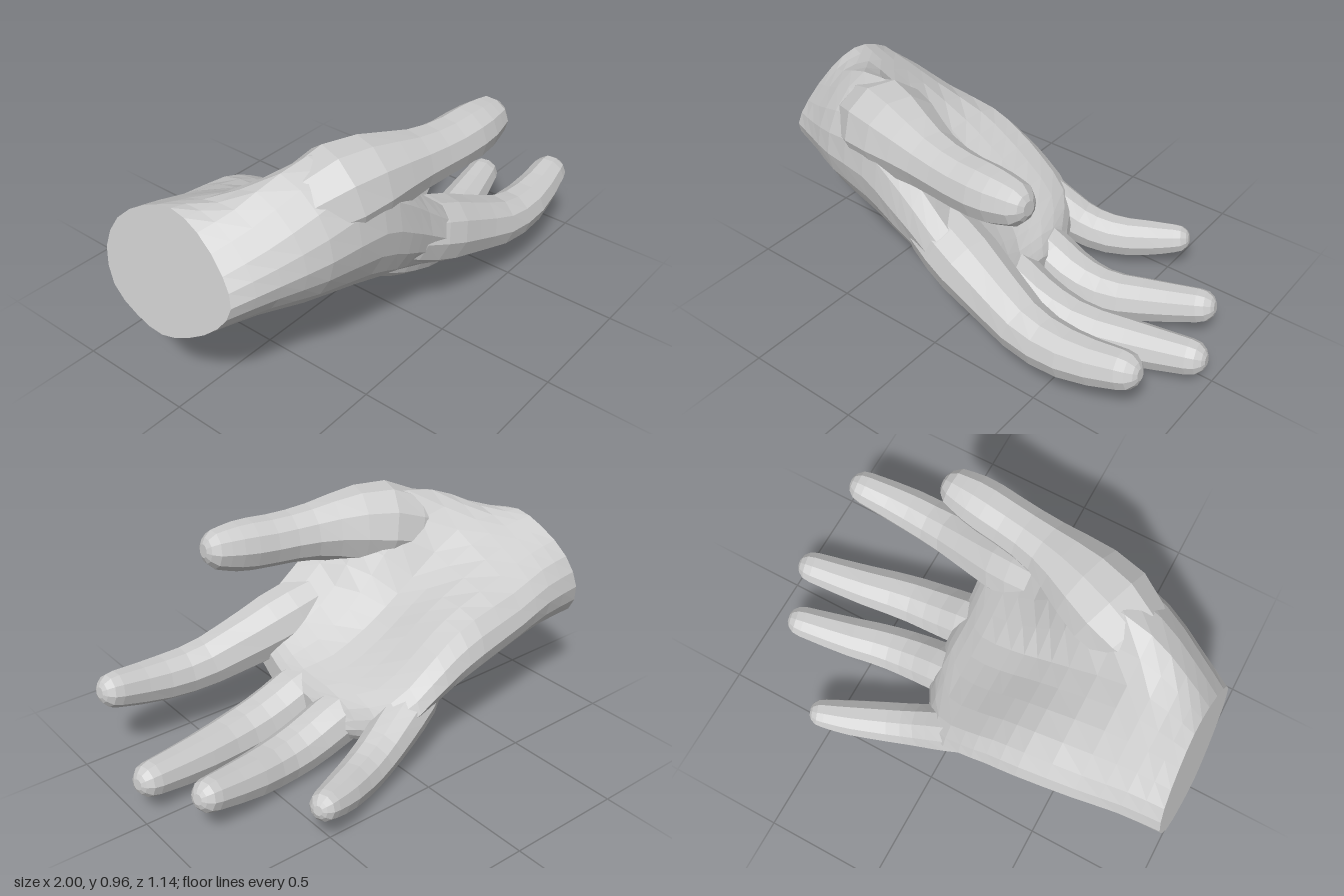
import * as THREE from 'three';

const skin = new THREE.MeshStandardMaterial({ color: 0xcccccc, flatShading: true });

// Skin over a list of rings (counter-clockwise about the direction of travel), capped at both ends
function loft(rings, name) {
  const n = rings[0].length, pos = [];
  const tri = (...ps) => ps.forEach(p => pos.push(p.x, p.y, p.z));
  for (let i = 0; i < rings.length - 1; i++) {
    for (let j = 0; j < n; j++) {
      const k = (j + 1) % n;
      const a = rings[i][j], b = rings[i][k], c = rings[i + 1][k], d = rings[i + 1][j];
      tri(a, b, c);
      tri(a, c, d);
    }
  }
  const centre = r => r.reduce((s, p) => s.add(p), new THREE.Vector3()).divideScalar(n);
  const first = rings[0], last = rings[rings.length - 1];
  const c0 = centre(first), c1 = centre(last);
  for (let j = 0; j < n; j++) {
    const k = (j + 1) % n;
    tri(c0, first[k], first[j]);
    tri(c1, last[j], last[k]);
  }
  const g = new THREE.BufferGeometry();
  g.setAttribute('position', new THREE.Float32BufferAttribute(pos, 3));
  g.computeVertexNormals();
  const mesh = new THREE.Mesh(g, skin);
  mesh.name = name;
  return mesh;
}

// Finger: a tube through [x, y, z, radius] stations, narrow where it is buried, with a rounded tip
function finger(name, stations, sides = 10, steps = 11) {
  const path = new THREE.CatmullRomCurve3(
    stations.map(s => new THREE.Vector3(s[0], s[1], s[2])), false, 'catmullrom');
  const girth = new THREE.CatmullRomCurve3(
    stations.map(s => new THREE.Vector3(s[3], 0, 0)), false, 'catmullrom');
  const rings = [];
  const addRing = (c, t, r) => {
    const side = new THREE.Vector3().crossVectors(t, new THREE.Vector3(0, 1, 0)).normalize();
    const up = new THREE.Vector3().crossVectors(side, t);
    rings.push(Array.from({ length: sides }, (_, j) => {
      const a = (j + 0.5) / sides * Math.PI * 2;
      return c.clone().addScaledVector(up, Math.cos(a) * r).addScaledVector(side, Math.sin(a) * r);
    }));
  };
  for (let i = 0; i <= steps; i++) {
    const u = i / steps;
    addRing(path.getPoint(u), path.getTangent(u), girth.getPoint(u).x);
  }
  const end = path.getPoint(1), dir = path.getTangent(1), r = girth.getPoint(1).x;
  for (const a of [0.5, 0.95, 1.25]) {
    addRing(end.clone().addScaledVector(dir, Math.sin(a) * r), dir, Math.cos(a) * r);
  }
  return loft(rings, name);
}

// Palm cross-sections: x, z range, then palm-side and back-side heights across the hand.
// The raised fourth and fifth heights form the ball of the thumb.
const sections = [
  [-1.00, -0.37, 0.27, [0.69, 0.79, 0.83, 0.79, 0.68], [0.42, 0.35, 0.33, 0.38, 0.48]],
  [-0.78, -0.38, 0.35, [0.67, 0.76, 0.82, 0.84, 0.74], [0.41, 0.34, 0.33, 0.37, 0.49]],
  [-0.60, -0.40, 0.43, [0.62, 0.71, 0.79, 0.92, 0.82], [0.38, 0.30, 0.29, 0.34, 0.48]],
  [-0.36, -0.42, 0.48, [0.58, 0.61, 0.63, 0.93, 0.88], [0.33, 0.25, 0.225, 0.29, 0.45]],
  [-0.22, -0.42, 0.495, [0.52, 0.53, 0.53, 0.76, 0.80], [0.29, 0.21, 0.19, 0.26, 0.40]],
  [-0.10, -0.42, 0.50, [0.44, 0.45, 0.46, 0.59, 0.69], [0.25, 0.17, 0.15, 0.23, 0.36]],
  [0.05, -0.39, 0.51, [0.33, 0.36, 0.38, 0.46, 0.56], [0.17, 0.10, 0.09, 0.19, 0.30]],
  [0.15, -0.23, 0.49, [0.27, 0.31, 0.32, 0.39, 0.47], [0.13, 0.08, 0.07, 0.19, 0.29]],
  [0.20, -0.14, 0.46, [0.20, 0.25, 0.26, 0.32, 0.40], [0.15, 0.12, 0.11, 0.21, 0.31]],
];

function palm() {
  const fractions = [0.08, 0.29, 0.5, 0.71, 0.92];
  const rings = sections.map(([x, z0, z1, top, back], row) => {
    const z = i => z0 + (z1 - z0) * fractions[i];
    const pts = top.map((y, i) => new THREE.Vector3(x, y, z(i)));
    pts.push(new THREE.Vector3(x, (top[4] + back[4]) / 2, z1));
    for (let i = 4; i >= 0; i--) pts.push(new THREE.Vector3(x, back[i], z(i)));
    pts.push(new THREE.Vector3(x, (top[0] + back[0]) / 2, z0));
    // the wrist cut leans
    if (row === 0) pts.forEach(p => { p.x += 0.2 * (p.y - 0.33); });
    return new THREE.CatmullRomCurve3(pts, true).getPoints(24).slice(0, 24);
  });
  // smooth the sections along the hand
  const strands = rings[0].map((_, j) =>
    new THREE.CatmullRomCurve3(rings.map(r => r[j]), false, 'catmullrom').getPoints(16));
  return loft(strands[0].map((_, i) => strands.map(s => s[i])), 'palm');
}

export function createModel() {
  const hand = new THREE.Group();
  hand.name = 'hand';
  hand.add(palm());
  hand.add(finger('thumb', [
    [-0.72, 0.70, 0.17, 0.06], [-0.56, 0.74, 0.22, 0.15], [-0.38, 0.785, 0.285, 0.19],
    [-0.20, 0.80, 0.342, 0.15], [-0.05, 0.80, 0.38, 0.118], [0.10, 0.80, 0.405, 0.11],
    [0.24, 0.81, 0.42, 0.108], [0.33, 0.82, 0.425, 0.092]]));
  hand.add(finger('indexFinger', [
    [-0.28, 0.54, 0.32, 0.06], [-0.10, 0.485, 0.36, 0.125], [0.08, 0.42, 0.393, 0.14],
    [0.25, 0.36, 0.425, 0.124], [0.45, 0.30, 0.463, 0.107], [0.65, 0.298, 0.473, 0.096],
    [0.855, 0.335, 0.455, 0.076]]));
  hand.add(finger('middleFinger', [
    [-0.14, 0.30, 0.14, 0.05], [0.00, 0.24, 0.155, 0.105], [0.14, 0.192, 0.163, 0.124],
    [0.30, 0.133, 0.168, 0.118], [0.48, 0.106, 0.158, 0.108], [0.70, 0.118, 0.113, 0.093],
    [0.925, 0.145, 0.07, 0.073]]));
  hand.add(finger('ringFinger', [
    [-0.14, 0.30, -0.11, 0.05], [0.00, 0.235, -0.095, 0.10], [0.14, 0.18, -0.08, 0.113],
    [0.30, 0.12, -0.075, 0.108], [0.45, 0.102, -0.09, 0.10], [0.62, 0.125, -0.135, 0.09],
    [0.82, 0.17, -0.185, 0.071]]));
  hand.add(finger('littleFinger', [
    [-0.24, 0.39, -0.27, 0.05], [-0.10, 0.30, -0.305, 0.095], [0.03, 0.222, -0.33, 0.10],
    [0.15, 0.162, -0.36, 0.094], [0.28, 0.137, -0.405, 0.088], [0.42, 0.15, -0.465, 0.078],
    [0.52, 0.17, -0.505, 0.063]]));
  return hand;
}
